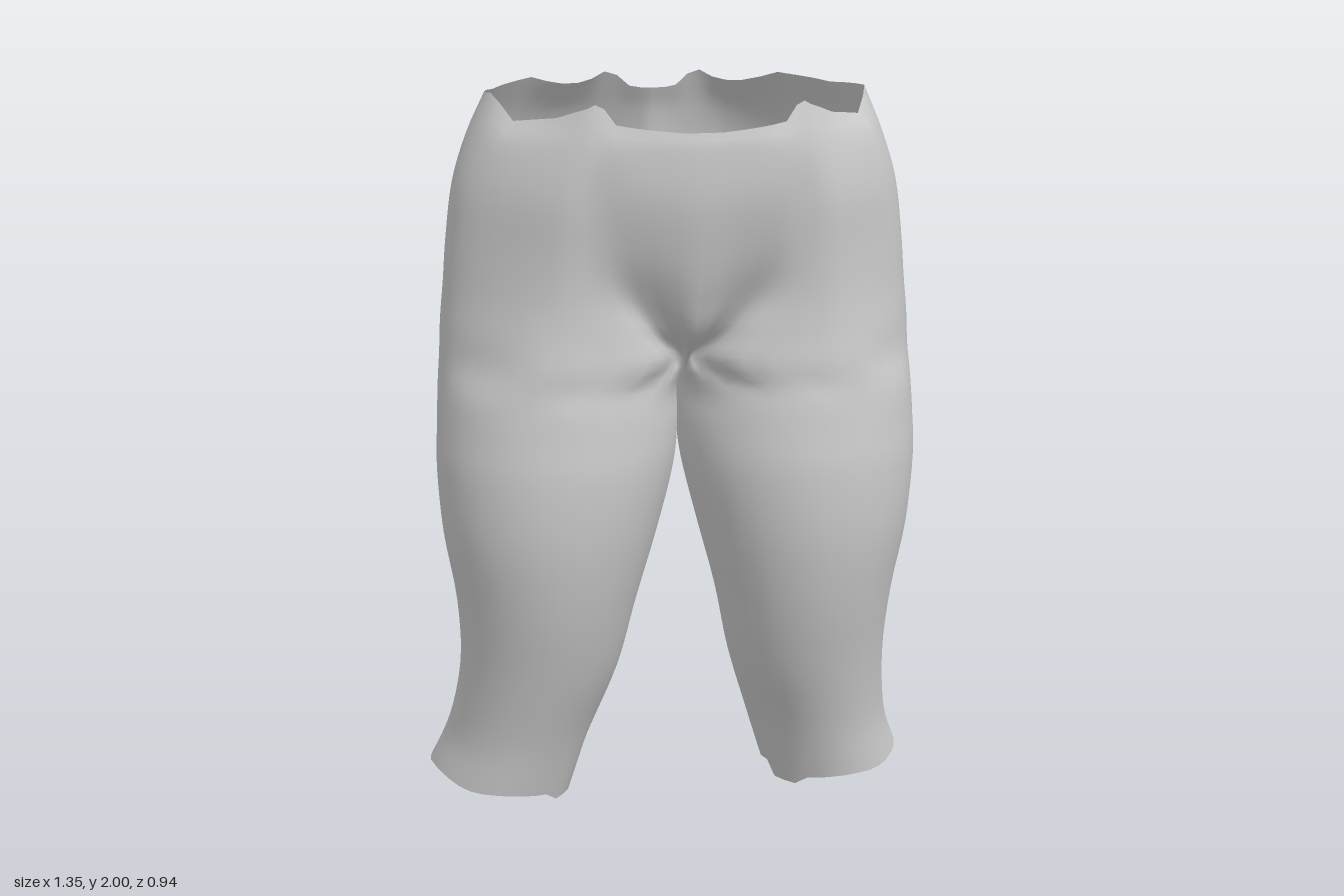
import * as THREE from 'three';
import { mergeGeometries, mergeVertices } from 'three/addons/utils/BufferGeometryUtils.js';

const OUT = 30;   // columns from front middle round the outside to back middle
const INN = 8;    // columns closing each leg on the inside
const STEP = 4;   // surface rows between two cross-sections
const START = THREE.MathUtils.degToRad(165);

// Hip half-sections: y, front middle, groin x, groin z, fold z, thigh z, half width, buttock, beside cleft, cleft
const HIPS = [
  [1.98, 0.465, 0.15, 0.45, 0.415, 0.38, 0.51, -0.32, -0.32, -0.30],
  [1.88, 0.47, 0.16, 0.455, 0.43, 0.39, 0.56, -0.40, -0.37, -0.33],
  [1.75, 0.46, 0.17, 0.44, 0.415, 0.39, 0.60, -0.455, -0.41, -0.355],
  [1.6, 0.425, 0.17, 0.39, 0.385, 0.37, 0.62, -0.465, -0.425, -0.36],
  [1.48, 0.39, 0.14, 0.33, 0.36, 0.36, 0.63, -0.445, -0.41, -0.335],
  [1.38, 0.345, 0.08, 0.28, 0.345, 0.36, 0.64, -0.395, -0.36, -0.27],
  [1.29, 0.23, 0.03, 0.20, 0.33, 0.365, 0.645, -0.325, -0.27, -0.20],
];

// Leg sections: y, inner x, outer x, front z, back z, outward lean of the back
const LEGS = [
  [1.2, 0.002, 0.652, 0.372, -0.28, 0],
  [1.1, 0.002, 0.657, 0.378, -0.26, 0],
  [0.98, 0.015, 0.66, 0.38, -0.25, 0],
  [0.8, 0.06, 0.645, 0.36, -0.235, 0],
  [0.6, 0.115, 0.61, 0.31, -0.215, 0],
  [0.4, 0.16, 0.60, 0.24, -0.22, 0],
  [0.2, 0.225, 0.625, 0.165, -0.295, 0.02],
  [0.05, 0.28, 0.67, 0.12, -0.34, 0.04],
];

// Ragged waist edge, front middle to back middle
const WAIST = [-0.05, -0.05, -0.045, -0.04, -0.035, -0.03, 0.01, 0.02, 0.01, 0, -0.02, -0.03, -0.04, 0, 0.02, 0.015,
  0.01, 0.005, 0, 0.005, 0.01, 0.015, 0, -0.01, -0.01, 0, 0.02, 0.01, -0.02, -0.025, -0.025];

const v = (x, y, z) => new THREE.Vector3(x, y, z);

function hipSection([y, f0, gx, gz, fold, f2, w, b, b1, b0], row) {
  const curve = new THREE.CatmullRomCurve3([
    v(0, y, f0), v(gx, y, gz), v(gx + 0.1, y, fold), v(0.62 * w, y, f2), v(0.9 * w, y, 0.58 * f2), v(w, y, 0.05),
    v(0.92 * w, y, 0.45 * b), v(0.68 * w, y, 0.84 * b), v(0.41 * w, y, b), v(0.1, y, b1), v(0, y, b0),
  ], false, 'catmullrom', 0.5);
  const points = curve.getPoints(OUT);
  if (row === 0) points.forEach((p, i) => { p.y += WAIST[i]; });
  return points;
}

// Curve between the legs, from back to front, lowest in the middle
function crotchPoints([y, f0, , , , , , , , b0]) {
  const points = [];
  for (let i = 1; i < INN; i++) {
    const t = i / INN;
    points.push(v(0, y - 0.05 * Math.sin(Math.PI * t), THREE.MathUtils.lerp(b0, f0, t)));
  }
  return points;
}

function legSection([y, xi, xo, zf, zb, lean], row) {
  const points = [];
  for (let i = 0; i < OUT + INN; i++) {
    const a = i <= OUT
      ? START - 2 * START * i / OUT
      : -START - (2 * Math.PI - 2 * START) * (i - OUT) / INN;
    const x = (xi + xo) / 2 + (xo - xi) / 2 * Math.cos(a) + lean * Math.max(0, -Math.sin(a));
    const z = (zf + zb) / 2 + (zf - zb) / 2 * Math.sin(a);
    // Ragged lower hem: higher outside, with a small tab on the inside
    let h = y;
    if (row === LEGS.length - 1) {
      h = 0.035 + 0.035 * Math.max(0, Math.cos(a)) + 0.006 * Math.sin(5 * a);
      if (x < 0.36 && z > -0.03) h = 0.005;
    }
    points.push(v(x, h, z));
  }
  return points;
}

function buildSide() {
  const hips = HIPS.map(hipSection);
  const legs = LEGS.map(legSection);
  const crotch = crotchPoints(HIPS[HIPS.length - 1]);
  const first = (HIPS.length - 1) * STEP;                       // surface row at the crotch
  const last = (HIPS.length + LEGS.length - 1) * STEP;
  const positions = [], index = [], columns = [];

  // Smooth lengthwise curve through every column
  for (let c = 0; c < OUT + INN; c++) {
    const outer = c <= OUT;
    const pts = outer ? hips.map(s => s[c]) : [crotch[c - OUT - 1]];
    pts.push(...legs.map(s => s[c]));
    const curve = new THREE.CatmullRomCurve3(pts, false, 'catmullrom', 0.5);
    columns.push({ base: positions.length / 3, top: outer ? 0 : first });
    for (const p of curve.getPoints((pts.length - 1) * STEP)) {
      positions.push(Math.max(0, p.x), THREE.MathUtils.clamp(p.y, 0, 2), p.z);
    }
  }
  const id = (r, c) => {
    const col = columns[c % (OUT + INN)];
    return col.base + r - col.top;
  };
  for (let c = 0; c < OUT + INN; c++) {
    for (let r = c < OUT ? 0 : first; r < last; r++) {
      const a = id(r, c), b = id(r, c + 1), d = id(r + 1, c), e = id(r + 1, c + 1);
      index.push(a, d, b, b, d, e);
    }
  }
  const geometry = new THREE.BufferGeometry();
  geometry.setAttribute('position', new THREE.Float32BufferAttribute(positions, 3));
  geometry.setIndex(index);
  return geometry;
}

function mirrored(geometry) {
  const copy = geometry.clone().scale(-1, 1, 1);
  const ids = copy.index.array;
  for (let i = 0; i < ids.length; i += 3) [ids[i], ids[i + 1]] = [ids[i + 1], ids[i]];
  return copy;
}

export function createModel() {
  const group = new THREE.Group();
  group.name = 'lowerBody';
  const grey = new THREE.MeshStandardMaterial({ color: 0xcecece, side: THREE.DoubleSide });
  grey.name = 'plain grey';

  // Hips and both legs as one open shell
  const side = buildSide();
  const geometry = mergeVertices(mergeGeometries([side, mirrored(side)]), 1e-4);
  geometry.computeVertexNormals();
  const shell = new THREE.Mesh(geometry, grey);
  shell.name = 'hipsAndLegs';
  group.add(shell);
  return group;
}
